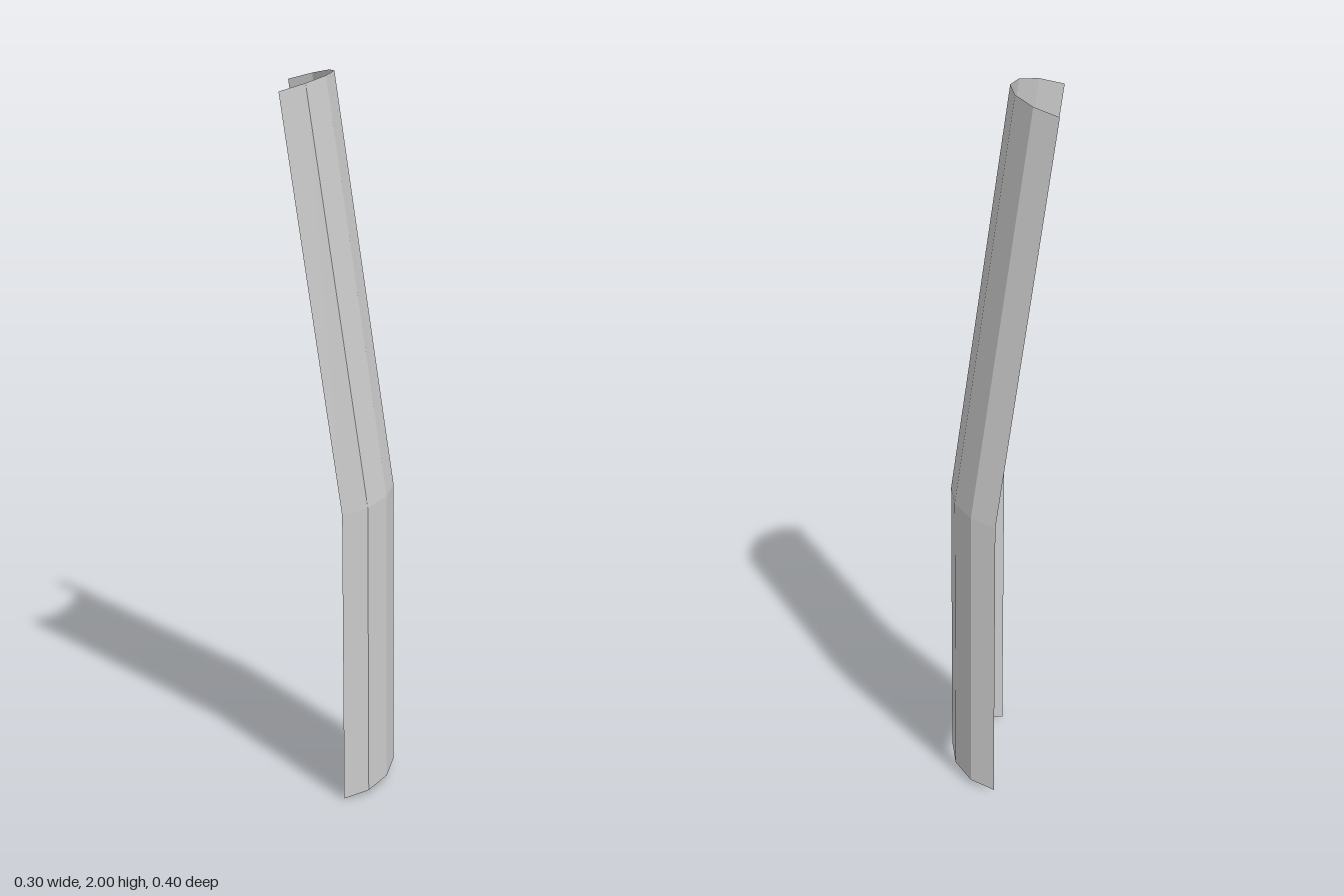
import * as THREE from 'three';

// Each level of the bent half tube: where the open rims and the ridge sit
const LEVELS = [
  { rim: [-0.152, 1.962], ridge: [-0.018, 2.0] },  // top end
  { rim: [0.009, 0.838], ridge: [0.146, 0.866] },  // bend
  { rim: [0.015, 0.0], ridge: [0.152, 0.028] },    // bottom end
];
const HALF_WIDTH = 0.2;
const SIDES = 6;

export function createModel() {
  const group = new THREE.Group();
  group.name = 'bentHalfTube';

  // Half cylinder, open at the back, with one ring of vertices per level
  const geometry = new THREE.CylinderGeometry(
    1, 1, 2, SIDES, LEVELS.length - 1, true, 0, Math.PI);
  const pos = geometry.attributes.position;

  // Slide every ring onto its slanted cut between the rims and the ridge
  for (let i = 0; i < pos.count; i++) {
    const { rim, ridge } = LEVELS[Math.round(1 - pos.getY(i))];
    const t = pos.getX(i); // 0 at the rims, 1 at the ridge
    pos.setXYZ(
      i,
      THREE.MathUtils.lerp(rim[0], ridge[0], t),
      THREE.MathUtils.lerp(rim[1], ridge[1], t),
      pos.getZ(i) * HALF_WIDTH);
  }
  geometry.computeVertexNormals();

  const shell = new THREE.Mesh(geometry, new THREE.MeshStandardMaterial({
    color: 0xcccccc, flatShading: true, side: THREE.DoubleSide,
  }));
  shell.name = 'shell';
  group.add(shell);
  return group;
}
